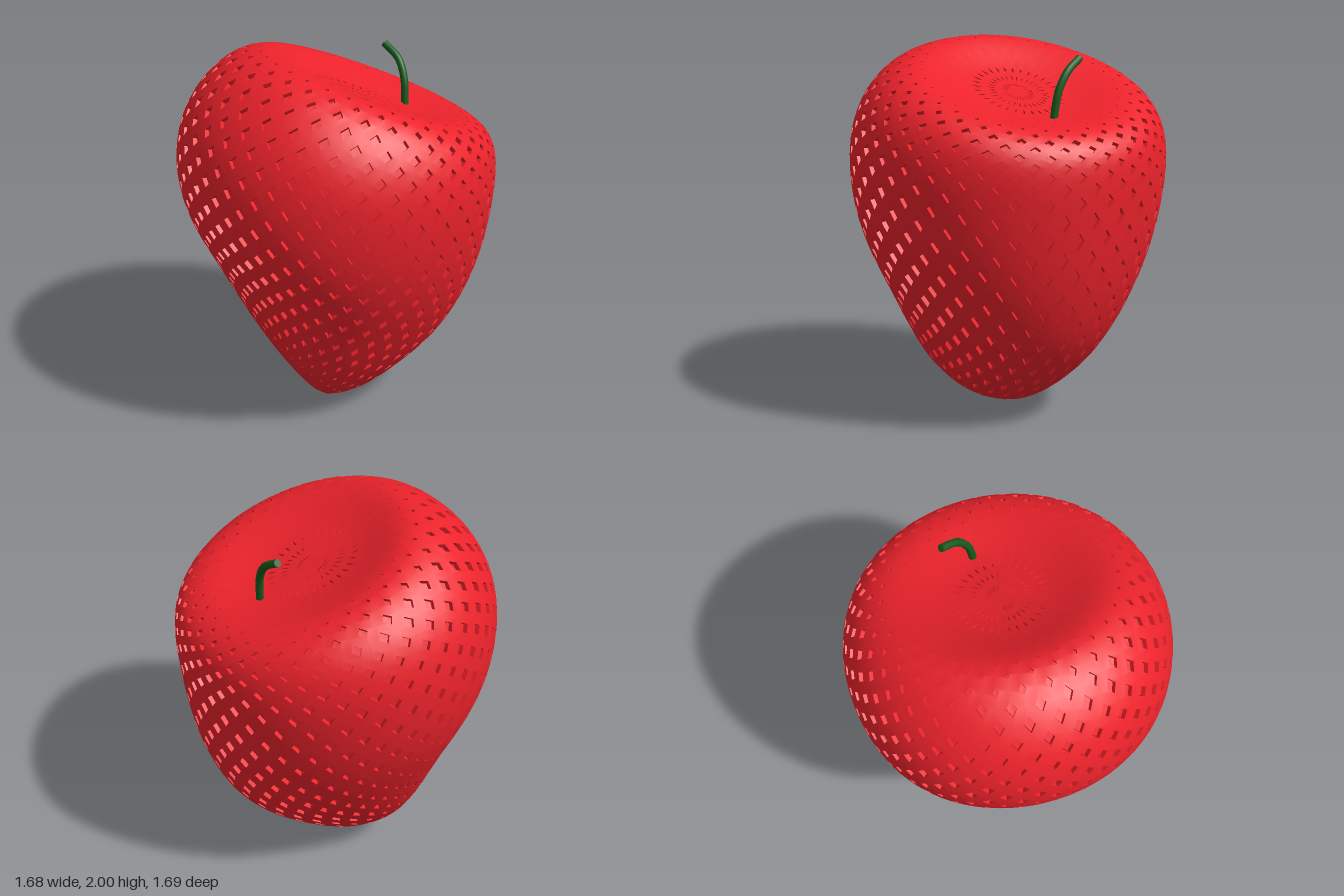
import * as THREE from 'three';
import { toCreasedNormals } from 'three/addons/utils/BufferGeometryUtils.js';

const COLUMNS = 32; // seed pits per ring
const PIT_DEPTH = 0.024;

// Tilted cross-sections from tip to crown: -x end (x, y), +x end (x, y), half depth in z
const RINGS = [
  [-0.31, 0.24, -0.31, 0.24, 0],
  [-0.385, 0.34, -0.20, 0.09, 0.19],
  [-0.455, 0.46, -0.08, 0.005, 0.33],
  [-0.525, 0.59, 0.14, 0.045, 0.44],
  [-0.595, 0.73, 0.36, 0.17, 0.53],
  [-0.665, 0.87, 0.54, 0.32, 0.61],
  [-0.735, 1.01, 0.66, 0.49, 0.69],
  [-0.79, 1.14, 0.74, 0.68, 0.76],
  [-0.827, 1.28, 0.79, 0.87, 0.81],
  [-0.84, 1.43, 0.82, 1.06, 0.838],
  [-0.82, 1.58, 0.838, 1.25, 0.845],
  [-0.765, 1.72, 0.84, 1.38, 0.825],
  [-0.67, 1.85, 0.825, 1.47, 0.78],
  [-0.53, 1.96, 0.78, 1.54, 0.70],
  [-0.38, 2.00, 0.69, 1.59, 0.585],
  [-0.27, 1.965, 0.57, 1.61, 0.45],
  [-0.16, 1.87, 0.41, 1.62, 0.30],
  [-0.02, 1.79, 0.27, 1.67, 0.14],
  [0.12, 1.73, 0.12, 1.73, 0],
];
const ROWS = (RINGS.length - 1) * 2;
const leftEdge = new THREE.CatmullRomCurve3(
  RINGS.map(r => new THREE.Vector3(r[0], r[1], r[4])), false, 'catmullrom', 0.5);
const rightEdge = new THREE.CatmullRomCurve3(
  RINGS.map(r => new THREE.Vector3(r[2], r[3], r[4])), false, 'catmullrom', 0.5);

// Point on the fruit's skin at lattice position (column i, row j)
function skin(i, j) {
  const t = THREE.MathUtils.clamp(j / ROWS, 0, 1);
  const a = (i / COLUMNS) * Math.PI;
  const l = leftEdge.getPoint(t), r = rightEdge.getPoint(t);
  const c = Math.cos(a);
  // the lower half narrows towards +x
  const narrowing = 0.16 * (1 - THREE.MathUtils.smoothstep(t, 0.2, 0.6));
  return new THREE.Vector3(
    (l.x + r.x) / 2 + c * (r.x - l.x) / 2,
    (l.y + r.y) / 2 + c * (r.y - l.y) / 2,
    l.z * Math.sin(a) * (1 - narrowing * c));
}

function skinNormal(i, j) {
  const up = skin(i, j + 0.1).sub(skin(i, j - 0.1));
  const around = skin(i + 0.1, j).sub(skin(i - 0.1, j));
  return up.cross(around).normalize();
}

// Pits shrink towards the tip and the crown, and turn to fine slits in the hollow's centre
function pitSize(j) {
  if (j >= ROWS - 3 && j < ROWS) return 0.7;
  return Math.min(1, (j - 3) / 5, (30 - j) / 4);
}

// The skin is tiled with staggered diamonds, each sunk by a flat-bottomed pit
function fruitGeometry() {
  const positions = [];
  const tri = (a, b, c) => {
    const area = b.clone().sub(a).cross(c.clone().sub(a)).length();
    if (area > 1e-9) for (const p of [a, b, c]) positions.push(p.x, p.y, p.z);
  };
  const quad = (a, b, c, d) => { tri(a, b, c); tri(a, c, d); };
  const corners = [[0, -1], [-1, 0], [0, 1], [1, 0]];

  for (let j = 0; j <= ROWS; j++) {
    const size = pitSize(j);
    for (let i = j % 2; i < COLUMNS * 2; i += 2) {
      const outer = corners.map(([u, v]) => skin(i + u, j + v));
      if (size <= 0) {
        quad(...outer);
        continue;
      }
      const rim = corners.map(([u, v]) => skin(i + u * 0.38 * size, j + v * 0.47 * size));
      const inward = skinNormal(i, j).multiplyScalar(-PIT_DEPTH * (0.4 + 0.6 * size));
      const floor = rim.map(p => p.clone().add(inward));
      for (let k = 0; k < 4; k++) {
        const n = (k + 1) % 4;
        quad(outer[k], outer[n], rim[n], rim[k]);
        quad(rim[k], rim[n], floor[n], floor[k]);
      }
      quad(...floor);
    }
  }
  const geometry = new THREE.BufferGeometry();
  geometry.setAttribute('position', new THREE.Float32BufferAttribute(positions, 3));
  return toCreasedNormals(geometry, 0.6);
}

// Curved stem with a flat cut end
function createStem() {
  const stem = new THREE.Group();
  stem.name = 'stem';
  const path = new THREE.CatmullRomCurve3([
    new THREE.Vector3(0.425, 1.60, -0.055),
    new THREE.Vector3(0.43, 1.75, -0.08),
    new THREE.Vector3(0.42, 1.85, -0.135),
    new THREE.Vector3(0.38, 1.915, -0.225),
  ]);
  const material = new THREE.MeshStandardMaterial({ color: 0x165a1c });
  const stalk = new THREE.Mesh(new THREE.TubeGeometry(path, 20, 0.02, 12), material);
  stalk.name = 'stalk';
  const cut = new THREE.Mesh(new THREE.CircleGeometry(0.02, 12), material);
  cut.name = 'cutEnd';
  cut.position.copy(path.getPoint(1));
  cut.lookAt(path.getPoint(1).add(path.getTangent(1)));
  stem.add(stalk, cut);
  return stem;
}

export function createModel() {
  const model = new THREE.Group();
  model.name = 'strawberry';
  const fruit = new THREE.Mesh(fruitGeometry(), new THREE.MeshStandardMaterial({ color: 0xec222b }));
  fruit.name = 'fruit';
  model.add(fruit, createStem());
  return model;
}
